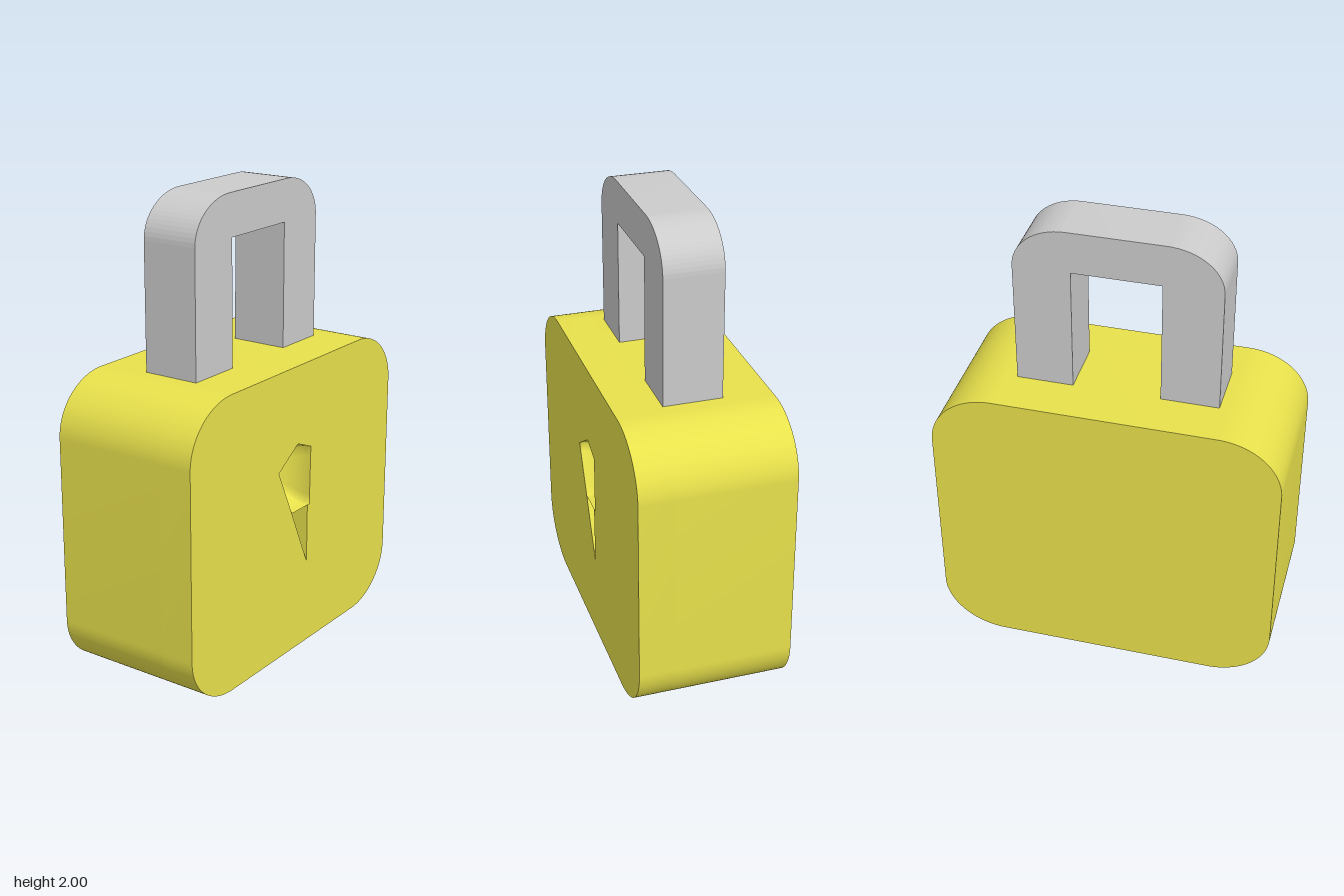
import * as THREE from 'three';
import { toCreasedNormals } from 'three/addons/utils/BufferGeometryUtils.js';

const yellow = new THREE.MeshStandardMaterial({ color: 0xe8e14c });
const yellowInside = new THREE.MeshStandardMaterial({ color: 0xe8e14c, side: THREE.DoubleSide });
const grey = new THREE.MeshStandardMaterial({ color: 0xcccccc });

const FACE = 0.325;    // x of the keyhole face
const DEPTH = 0.15;    // depth of the keyhole slot
const LIP = 0.64;      // height where the bowl meets the slot

// Side profiles are drawn as (u, y) with u = -z and extruded along x.
function extrudeX(shape, x0, x1, curveSegments, crease) {
  const geo = new THREE.ExtrudeGeometry(shape, { depth: x1 - x0, bevelEnabled: false, curveSegments });
  geo.rotateY(Math.PI / 2).translate(x0, 0, 0);
  return toCreasedNormals(geo, crease);
}

// Rounded block outline with elliptical corners
function bodyShape() {
  const w = 0.74, h = 1.28, a = 0.27, b = 0.24, q = Math.PI / 2;
  const s = new THREE.Shape();
  s.moveTo(-w + a, 0);
  s.absellipse(w - a, b, a, b, -q, 0, false);
  s.absellipse(w - a, h - b, a, b, 0, q, false);
  s.absellipse(-w + a, h - b, a, b, q, 2 * q, false);
  s.absellipse(-w + a, b, a, b, 2 * q, 3 * q, false);
  return s;
}

// Upside-down U with rounded outer shoulders
function shackleShape() {
  const s = new THREE.Shape();
  s.moveTo(-0.435, 1.25);
  s.lineTo(-0.19, 1.25);
  s.lineTo(-0.19, 1.82);
  s.lineTo(0.18, 1.82);
  s.lineTo(0.18, 1.25);
  s.lineTo(0.42, 1.25);
  s.absellipse(0.2, 1.82, 0.22, 0.18, 0, Math.PI / 2, false);
  s.absellipse(-0.205, 1.82, 0.23, 0.18, Math.PI / 2, Math.PI, false);
  s.closePath();
  return s;
}

// Smooth hollow that sinks from a polygon rim towards its middle
function bowlGeometry(rim, depth, rings = 10, perSide = 6) {
  const edge = [];
  rim.forEach((p, i) => {
    const next = rim[(i + 1) % rim.length];
    for (let k = 0; k < perSide; k++) edge.push(p.clone().lerp(next, k / perSide));
  });
  const n = edge.length, cu = 0.0, cy = 0.79;
  const pos = [], idx = [];
  for (let r = 0; r <= rings; r++) {
    const t = (r / rings) * Math.PI / 2;
    for (const p of edge) {
      pos.push(FACE - depth * Math.sin(t), cy + (p.y - cy) * Math.cos(t), -(cu + (p.x - cu) * Math.cos(t)));
    }
  }
  for (let r = 0; r < rings; r++) {
    for (let i = 0; i < n; i++) {
      const j = (i + 1) % n, a = r * n + i, b = r * n + j, c = a + n, d = b + n;
      idx.push(a, b, c);
      if (r < rings - 1) idx.push(b, d, c);
    }
  }
  const geo = new THREE.BufferGeometry();
  geo.setAttribute('position', new THREE.Float32BufferAttribute(pos, 3));
  geo.setIndex(idx);
  geo.computeVertexNormals();
  return geo;
}

export function createModel() {
  const model = new THREE.Group();
  model.name = 'padlock';
  const add = (name, geo, mat, parent = model) => {
    const mesh = new THREE.Mesh(geo, mat);
    mesh.name = name;
    parent.add(mesh);
    return mesh;
  };

  // Body: a solid block with a pierced front layer
  const body = new THREE.Group();
  body.name = 'body';
  model.add(body);
  add('bodyBlock', extrudeX(bodyShape(), -0.33, FACE - DEPTH, 16, 0.6), yellow, body);

  const V = (u, y) => new THREE.Vector2(u, y);
  const pierced = bodyShape();
  pierced.holes.push(new THREE.Path([
    V(-0.14, 0.85), V(-0.04, LIP), V(0.08, 0.38), V(0.08, LIP), V(0.095, LIP), V(0.1, 0.9), V(0, 0.94),
  ]));
  add('keyholeFace', extrudeX(pierced, FACE - DEPTH, FACE, 16, 0.6), yellow, body);

  // Keyhole: rounded bowl above, and the roof of the slot below it
  const keyhole = new THREE.Group();
  keyhole.name = 'keyhole';
  body.add(keyhole);
  const rim = [V(-0.04, LIP), V(0.095, LIP), V(0.1, 0.9), V(0, 0.94), V(-0.14, 0.85)];
  add('keyholeBowl', bowlGeometry(rim, 0.13), yellowInside, keyhole);
  const roof = new THREE.PlaneGeometry(DEPTH, 0.135);
  roof.rotateX(Math.PI / 2).translate(FACE - DEPTH / 2, LIP, -0.0275);
  add('slotRoof', roof, yellow, keyhole);

  // Shackle
  add('shackle', extrudeX(shackleShape(), -0.125, 0.125, 8, 0.05), grey);

  return model;
}
